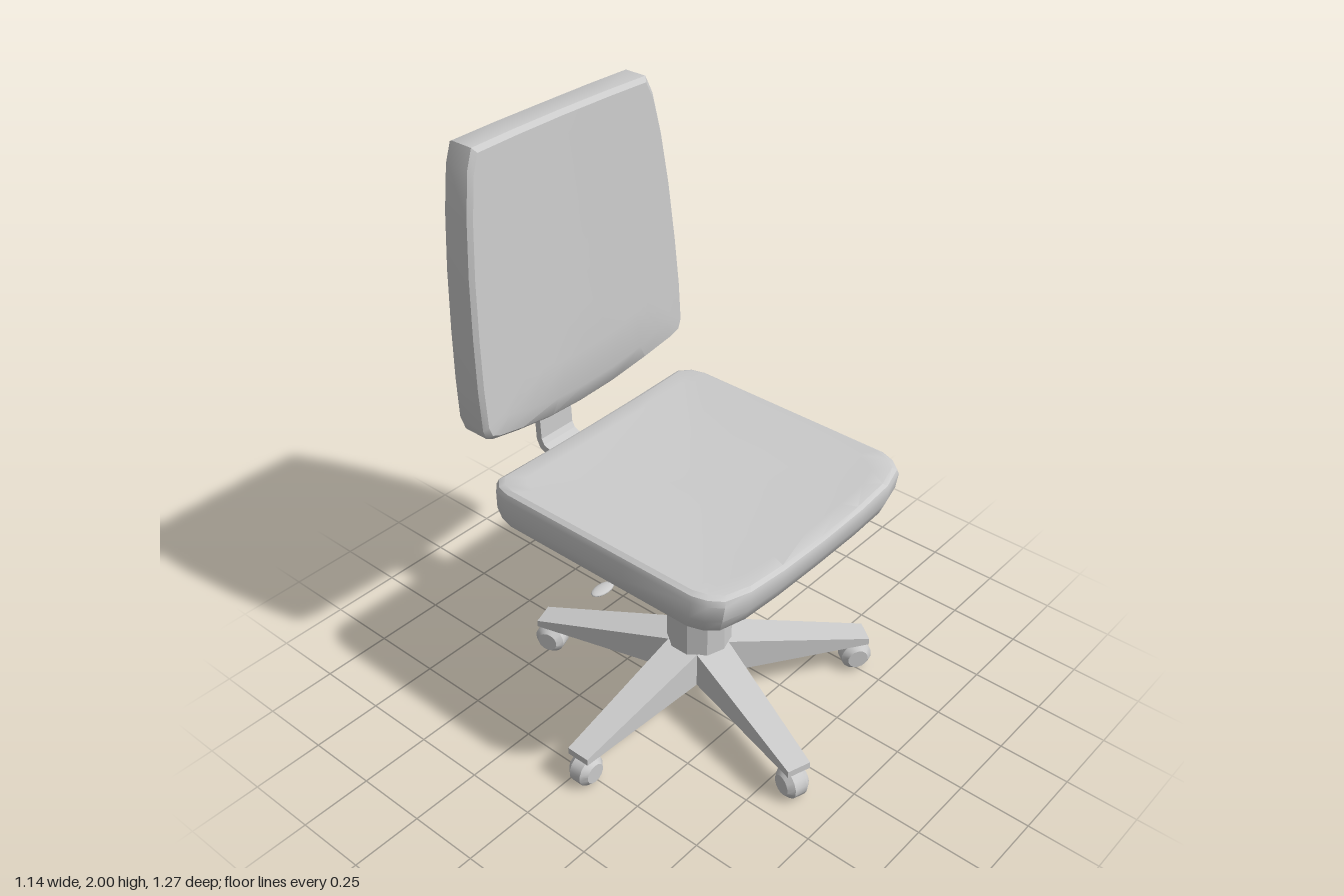
import * as THREE from 'three';
import { toCreasedNormals } from 'three/addons/utils/BufferGeometryUtils.js';

const material = new THREE.MeshStandardMaterial({ color: 0xcccccc });

function addMesh(parent, name, geometry) {
  const mesh = new THREE.Mesh(geometry, material);
  mesh.name = name;
  parent.add(mesh);
  return mesh;
}

// Mirror a right-hand half outline (first and last points on the axis) into a closed loop
function mirrorOutline(half) {
  const other = half.slice(1, -1).reverse().map(([x, y]) => [-x, y]);
  return [...half, ...other];
}

// Loft scaled copies of an outline; place(x, y, t) puts each point in space
function cushion(outline, centreY, rings, place) {
  const positions = [], index = [], n = outline.length;
  for (const [scale, t] of rings) {
    for (const [x, y] of outline) {
      positions.push(...place(x * scale, centreY + (y - centreY) * scale, t));
    }
  }
  for (let i = 0; i < rings.length - 1; i++) {
    for (let j = 0; j < n; j++) {
      const a = i * n + j, b = i * n + (j + 1) % n;
      if (rings[i][0] > 0) index.push(a, b, b + n);
      if (rings[i + 1][0] > 0) index.push(a, b + n, a + n);
    }
  }
  const geometry = new THREE.BufferGeometry();
  geometry.setAttribute('position', new THREE.Float32BufferAttribute(positions, 3));
  geometry.setIndex(index);
  return toCreasedNormals(geometry, 0.6);
}

// Seat: rounded square, front edge slanting under, top dished
function seatGeometry() {
  const outline = mirrorOutline([
    [0, -0.495], [0.2, -0.493], [0.35, -0.485], [0.44, -0.46], [0.472, -0.42], [0.488, -0.37],
    [0.488, -0.1], [0.488, 0.15], [0.488, 0.4], [0.475, 0.45], [0.44, 0.485], [0.2, 0.491], [0, 0.493],
  ]);
  const rings = [
    [0, 0], [0.95, 0], [0.98, 0.1], [1, 0.4], [1, 0.8], [0.985, 0.93], [0.955, 1],
    [0.85, 0.98], [0.6, 0.95], [0.3, 0.93], [0, 0.92],
  ];
  return cushion(outline, 0, rings, (x, y, t) => {
    const dip = 0.02 * (1 - (x / 0.488) ** 2) * t * t;
    const front = Math.max(0, -y / 0.495);
    return [x, 0.785 + 0.15 * t - dip, -y - 0.025 * front * (1 - t)];
  });
}

// Backrest: narrows to the top, bowed lower edge, hollow front face
function backrestGeometry() {
  const outline = mirrorOutline([
    [0, 0.985], [0.15, 0.993], [0.3, 1.022], [0.42, 1.055], [0.455, 1.075], [0.468, 1.11],
    [0.468, 1.25], [0.46, 1.42], [0.445, 1.62], [0.423, 1.8], [0.396, 1.94], [0.37, 2], [0.2, 2], [0, 2],
  ]);
  const rings = [
    [0, 0], [0.5, 0], [0.8, 0], [0.985, 0], [1, 0.12], [1, 0.88], [0.97, 1],
    [0.85, 1], [0.6, 1], [0.3, 1], [0, 1],
  ];
  return cushion(outline, 1.5, rings, (x, y, t) => {
    const u = x / 0.468;
    const low = Math.max(0, 1.09 - y) / 0.1;
    const back = -0.605 + 0.035 * (2 - y) + 0.02 * u ** 6;
    const front = -0.485 + 0.062 * (2 - y) - 0.018 * (1 - u * u) - 0.03 * low;
    return [x, y, THREE.MathUtils.lerp(back, front, t)];
  });
}

// Bent flat bar from under the seat up behind the backrest
function bracketGeometry() {
  const profile = [
    [-0.29, 0.745], [0.53, 0.745], [0.605, 0.78], [0.62, 0.81], [0.626, 0.98], [0.582, 1.18],
    [0.572, 1.18], [0.602, 0.98], [0.596, 0.82], [0.585, 0.8], [0.52, 0.775], [-0.29, 0.775],
  ];
  const shape = new THREE.Shape(profile.map(([x, y]) => new THREE.Vector2(x, y)));
  const geometry = new THREE.ExtrudeGeometry(shape, { depth: 0.15, bevelEnabled: false });
  return geometry.translate(0, 0, -0.075).rotateY(Math.PI / 2);
}

// Leg along +x: tapers in height and width towards the tip
function legGeometry() {
  const geometry = new THREE.BoxGeometry(1, 1, 1);
  const p = geometry.attributes.position;
  for (let i = 0; i < p.count; i++) {
    const t = p.getX(i) + 0.5;
    const top = THREE.MathUtils.lerp(0.255, 0.145, t);
    p.setXYZ(i,
      THREE.MathUtils.lerp(0.088, 0.607, t),
      p.getY(i) > 0 ? top : 0.12,
      Math.sign(p.getZ(i)) * THREE.MathUtils.lerp(0.064, 0.0425, t));
  }
  geometry.computeVertexNormals();
  return geometry;
}

function wheelGeometry() {
  const profile = [[0, -0.042], [0.036, -0.042], [0.055, -0.022], [0.055, 0.022], [0.036, 0.042], [0, 0.042]];
  const lathe = new THREE.LatheGeometry(profile.map(([x, y]) => new THREE.Vector2(x, y)), 14);
  return toCreasedNormals(lathe.rotateX(Math.PI / 2), 0.6);
}

function tenSided(radius, bottom, top) {
  const geometry = new THREE.CylinderGeometry(radius, radius, top - bottom, 10);
  return toCreasedNormals(geometry.translate(0, (top + bottom) / 2, 0), 0.3);
}

export function createModel() {
  const chair = new THREE.Group();
  chair.name = 'officeChair';

  addMesh(chair, 'seat', seatGeometry()).position.set(0.052, 0, 0.05);
  addMesh(chair, 'backrest', backrestGeometry()).position.x = 0.052;
  addMesh(chair, 'bracket', bracketGeometry()).position.x = 0.045;

  // Base: column, five legs and casters
  const base = new THREE.Group();
  base.name = 'base';
  base.position.set(0.05, 0, 0.045);
  chair.add(base);
  addMesh(base, 'columnSleeve', tenSided(0.111, 0.12, 0.57));
  addMesh(base, 'columnPost', tenSided(0.076, 0.56, 0.75));

  const leg = legGeometry(), wheel = wheelGeometry();
  const stem = new THREE.CylinderGeometry(0.015, 0.015, 0.05, 8);
  for (let i = 0; i < 5; i++) {
    const arm = new THREE.Group();
    arm.name = 'legWithCaster';
    arm.rotation.y = Math.PI + i * Math.PI * 2 / 5;
    addMesh(arm, 'leg', leg);
    addMesh(arm, 'casterStem', stem).position.set(0.572, 0.105, 0);
    addMesh(arm, 'casterWheel', wheel).position.set(0.572, 0.056, 0);
    base.add(arm);
  }

  // Height lever with flat paddle
  const lever = new THREE.Group();
  lever.name = 'heightLever';
  lever.position.z = 0.043;
  chair.add(lever);
  const path = new THREE.CatmullRomCurve3([
    [0, 0.762], [-0.15, 0.762], [-0.27, 0.762], [-0.33, 0.742], [-0.4, 0.74],
  ].map(([x, y]) => new THREE.Vector3(x, y, 0)), false, 'centripetal');
  addMesh(lever, 'leverRod', new THREE.TubeGeometry(path, 20, 0.008, 8));
  const paddle = addMesh(lever, 'leverPaddle', new THREE.SphereGeometry(1, 16, 8));
  paddle.scale.set(0.045, 0.008, 0.024);
  paddle.position.set(-0.412, 0.741, 0);

  return chair;
}
